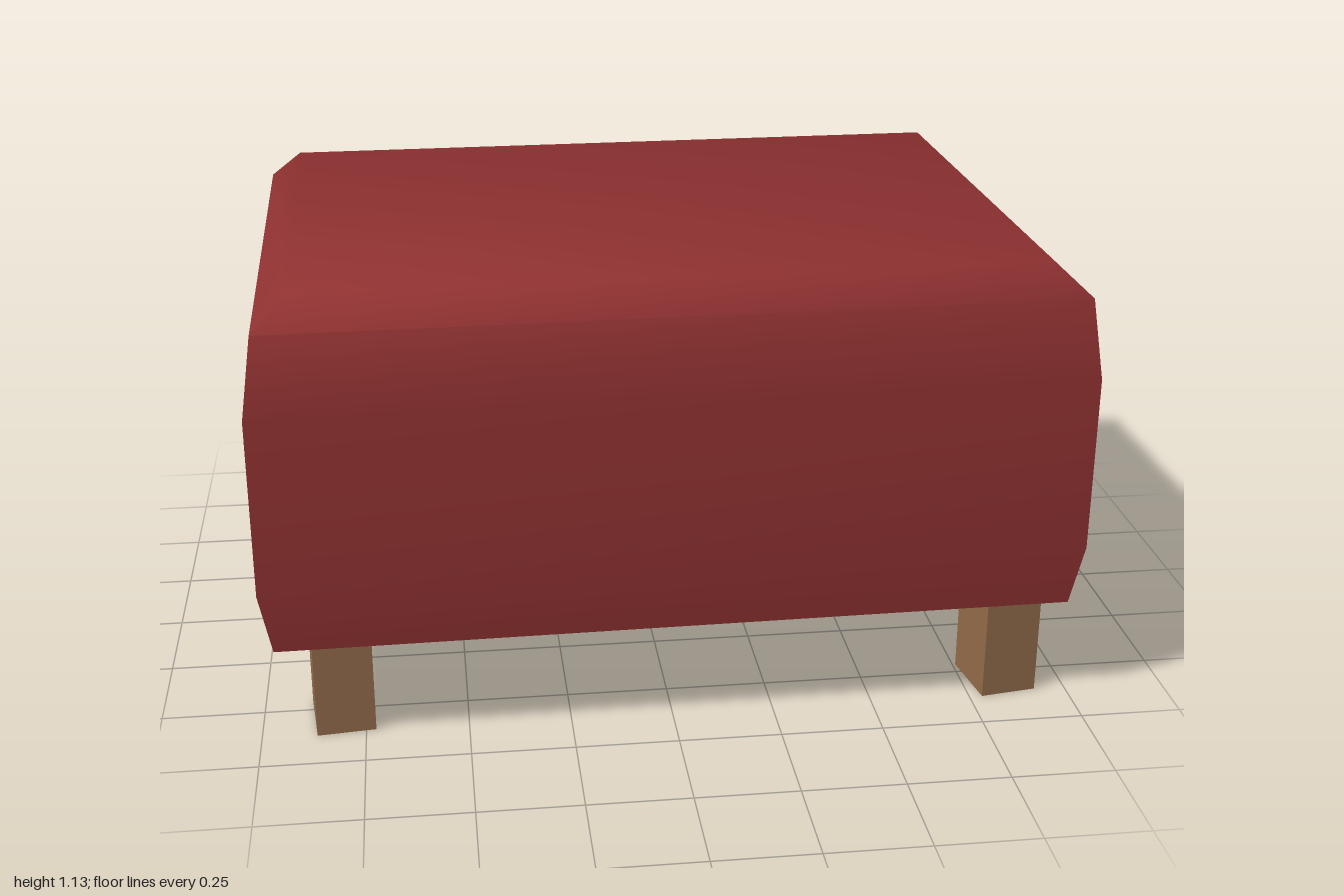
import * as THREE from 'three';
import { toCreasedNormals } from 'three/addons/utils/BufferGeometryUtils.js';

const upholstery = new THREE.MeshStandardMaterial({ name: 'red upholstery', color: 0x8f3131 });
const wood = new THREE.MeshStandardMaterial({ name: 'brown wood', color: 0x916a49 });

// Cushion levels from bottom to top: height and outline scale
const levels = [[0.27, 0.972], [0.425, 1], [0.86, 1], [1.055, 0.972], [1.13, 0.89]];

function cushionGeometry() {
  const rows = levels.length - 1;
  const geo = new THREE.BoxGeometry(1.978, 1, 1.388, 1, rows, 1);
  const p = geo.attributes.position;
  for (let i = 0; i < p.count; i++) {
    const [y, s] = levels[Math.round((p.getY(i) + 0.5) * rows)];
    p.setXYZ(i, p.getX(i) * s, y, p.getZ(i) * s);
  }
  // Soft over the top bevel, sharp at the base and lower corners
  return toCreasedNormals(geo, 1.2);
}

export function createModel() {
  const group = new THREE.Group();
  group.name = 'footstool';

  const cushion = new THREE.Mesh(cushionGeometry(), upholstery);
  cushion.name = 'cushion';
  cushion.rotation.y = 0.0155;
  group.add(cushion);

  // Four square legs, each slightly twisted
  const legGeo = new THREE.BoxGeometry(0.142, 0.29, 0.167);
  for (const [xName, x, twist] of [['Right', -0.805, 0.1], ['Left', 0.84, 0.15]]) {
    for (const [zName, z] of [['front', 0.535], ['back', -0.52]]) {
      const leg = new THREE.Mesh(legGeo, wood);
      leg.name = zName + xName + 'Leg';
      leg.position.set(x, 0.145, z);
      leg.rotation.y = twist;
      group.add(leg);
    }
  }
  return group;
}
